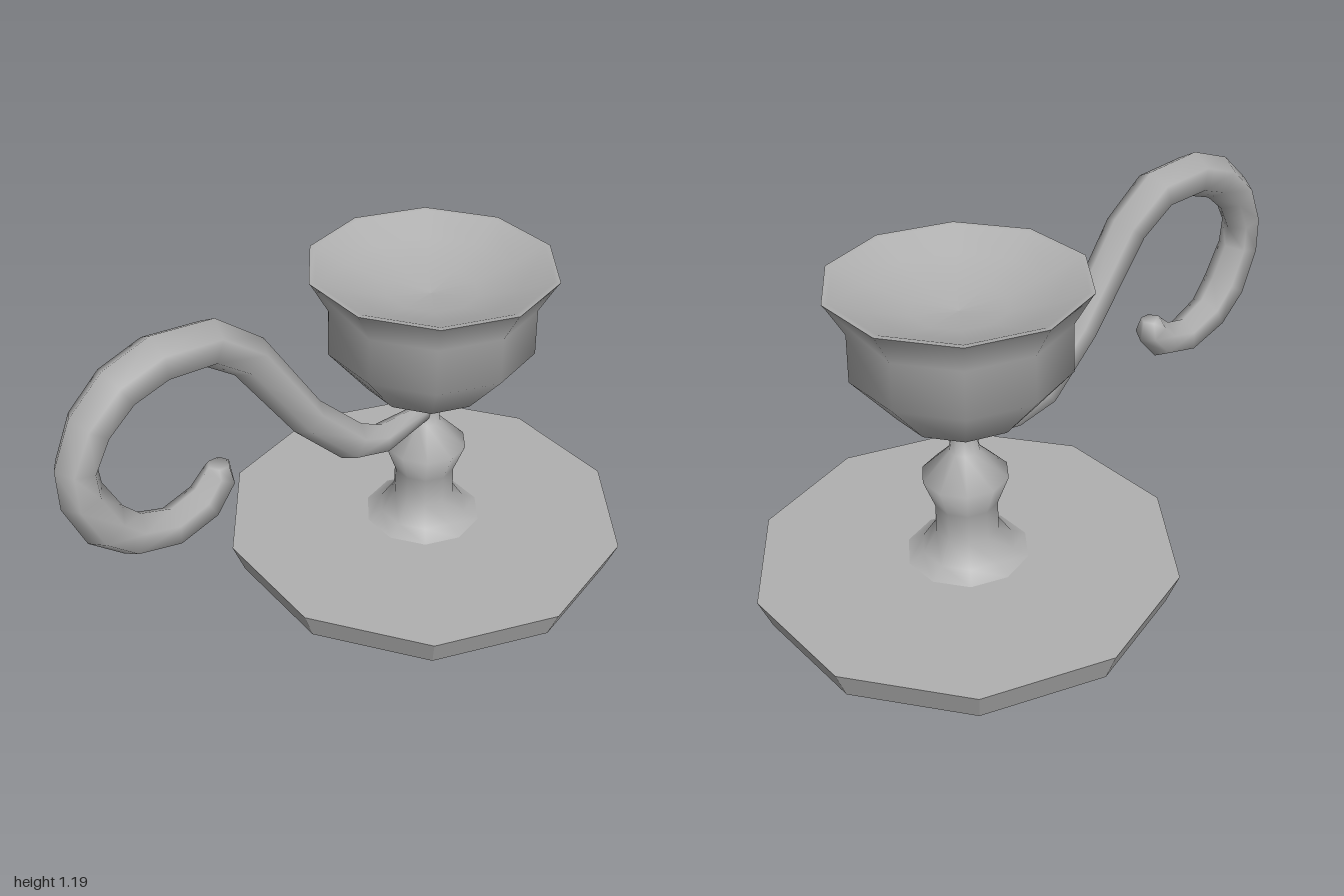
import * as THREE from 'three';

const SIDES = 10;
const AXIS_X = 0.345; // centre line of base, stem and cup

// Smooth ten-sided turned shape from [radius, height] pairs
function turned(name, profile, material) {
  const points = profile.map(([r, y]) => new THREE.Vector2(r, y));
  const mesh = new THREE.Mesh(new THREE.LatheGeometry(points, SIDES), material);
  mesh.name = name;
  mesh.position.x = AXIS_X;
  return mesh;
}

// Faceted ten-sided plate, slightly narrower below
function basePlate(material) {
  const geometry = new THREE.CylinderGeometry(0.69, 0.65, 0.103, SIDES).toNonIndexed();
  geometry.computeVertexNormals();
  const mesh = new THREE.Mesh(geometry, material);
  mesh.name = 'basePlate';
  mesh.position.set(AXIS_X, 0.0515, 0);
  return mesh;
}

// Tapering six-sided tube along a curl; stations are [x, y, z, radius]
function curledHandle(stations, material) {
  const n = 6, positions = [], index = [];
  stations.forEach(([x, y, z, r], i) => {
    const p = stations[Math.max(i - 1, 0)];
    const q = stations[Math.min(i + 1, stations.length - 1)];
    const t = new THREE.Vector2(q[0] - p[0], q[1] - p[1]).normalize();
    for (let j = 0; j < n; j++) {
      const a = (j / n) * Math.PI * 2;
      const u = r * Math.cos(a), w = r * Math.sin(a);
      positions.push(x - t.y * u, y + t.x * u, z + w);
    }
  });
  for (let i = 0; i < stations.length - 1; i++) {
    for (let j = 0; j < n; j++) {
      const a = i * n + j, b = i * n + ((j + 1) % n);
      index.push(a, b, a + n, b, b + n, a + n);
    }
  }
  // close both ends
  const last = (stations.length - 1) * n;
  for (let j = 1; j < n - 1; j++) {
    index.push(0, j + 1, j);
    index.push(last, last + j, last + j + 1);
  }
  const geometry = new THREE.BufferGeometry();
  geometry.setAttribute('position', new THREE.Float32BufferAttribute(positions, 3));
  geometry.setIndex(index);
  geometry.computeVertexNormals();
  const mesh = new THREE.Mesh(geometry, material);
  mesh.name = 'curledHandle';
  return mesh;
}

export function createModel() {
  const group = new THREE.Group();
  group.name = 'candleHolder';
  const metal = new THREE.MeshStandardMaterial({ color: 0xb0b0b0, side: THREE.DoubleSide });
  metal.name = 'grey metal';

  group.add(basePlate(metal));

  // Flared foot, waist, knob and neck
  group.add(turned('stem', [
    [0.2, 0.103], [0.15, 0.13], [0.105, 0.2], [0.103, 0.3],
    [0.14, 0.4], [0.05, 0.49], [0.04, 0.55],
  ], metal));

  // Cup outside with flared lip, and its shallow dished top
  group.add(turned('cup', [
    [0.02, 0.53], [0.05, 0.55], [0.21, 0.65], [0.345, 0.81],
    [0.342, 0.965], [0.395, 1.06], [0.404, 1.073],
  ], metal));
  group.add(turned('cupInside', [
    [0.404, 1.073], [0.385, 1.072], [0.28, 1.025], [0.15, 0.985], [0, 0.97],
  ], metal));

  group.add(curledHandle([
    [0.34, 0.535, 0.01, 0.03], [0.13, 0.515, 0.03, 0.052], [0.01, 0.555, 0.03, 0.065],
    [-0.16, 0.72, 0.03, 0.062], [-0.36, 1.01, 0.03, 0.068], [-0.49, 1.105, 0.03, 0.073],
    [-0.66, 1.115, 0.03, 0.075], [-0.785, 1.07, 0.03, 0.073], [-0.88, 0.985, 0.035, 0.07],
    [-0.935, 0.87, 0.038, 0.065], [-0.93, 0.77, 0.038, 0.068], [-0.87, 0.64, 0.038, 0.073],
    [-0.785, 0.56, 0.03, 0.068], [-0.65, 0.518, 0.02, 0.063], [-0.53, 0.55, 0.01, 0.062],
    [-0.465, 0.615, 0.0, 0.055], [-0.465, 0.655, 0.0, 0.035],
  ], metal));

  return group;
}
